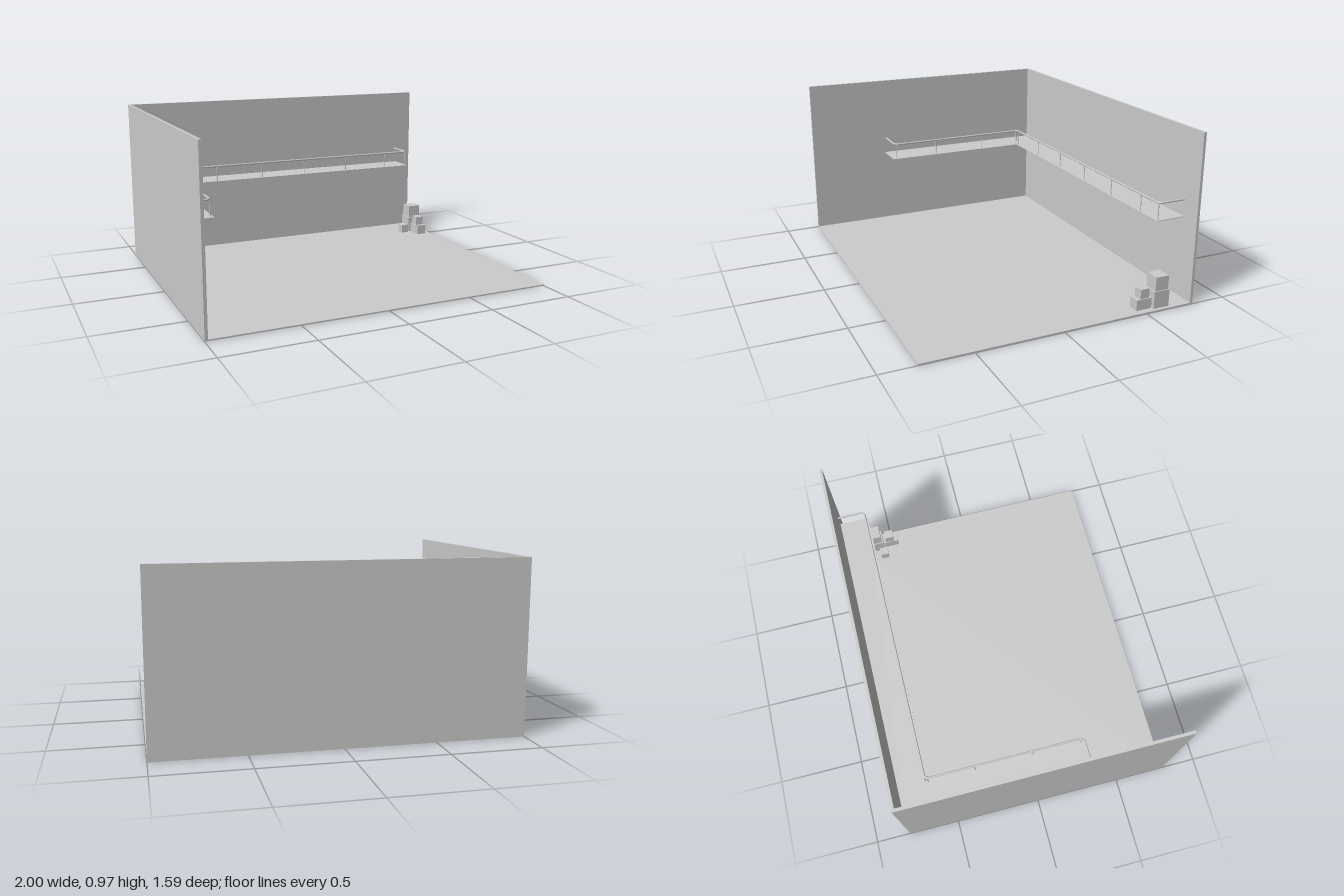
import * as THREE from 'three';

const material = new THREE.MeshStandardMaterial({ color: 0xcccccc });
const flat = new THREE.MeshStandardMaterial({ color: 0xcccccc, flatShading: true });

// Box given by its min and max corners
function box(name, [x0, y0, z0], [x1, y1, z1]) {
  const mesh = new THREE.Mesh(new THREE.BoxGeometry(x1 - x0, y1 - y0, z1 - z0), flat);
  mesh.position.set((x0 + x1) / 2, (y0 + y1) / 2, (z0 + z1) / 2);
  mesh.name = name;
  return mesh;
}

// Round bar between two points
function bar(name, a, b, radius) {
  const curve = new THREE.LineCurve3(a, b);
  const group = new THREE.Mesh(new THREE.TubeGeometry(curve, 1, radius, 8), material);
  group.name = name;
  return group;
}

export function createModel() {
  const model = new THREE.Group();
  model.name = 'warehouseRoom';

  // Room shell
  model.add(
    box('floor', [-1, 0, -0.795], [1, 0.008, 0.795]),
    box('backWall', [-1, 0, -0.797], [1, 0.97, -0.781]),
    box('sideWall', [-1, 0, -0.781], [-0.983, 0.97, 0.795])
  );

  // L-shaped walkway slab, shape y maps to -z
  const walkway = new THREE.Group();
  walkway.name = 'walkway';
  const outline = [[-0.983, 0.781], [-0.983, -0.307], [-0.79, -0.307],
    [-0.79, 0.605], [0.893, 0.605], [0.893, 0.781]];
  const shape = new THREE.Shape(outline.map(([x, y]) => new THREE.Vector2(x, y)));
  const slab = new THREE.Mesh(new THREE.ExtrudeGeometry(shape, { depth: 0.004, bevelEnabled: false }), flat);
  slab.rotation.x = -Math.PI / 2;
  slab.position.y = 0.473;
  slab.name = 'walkwayDeck';
  walkway.add(slab);

  // Handrail with chamfered corners, ending at the walls
  const railY = 0.572;
  const path = [[-0.983, 0.292], [-0.822, 0.292], [-0.806, 0.272], [-0.806, -0.6],
    [-0.79, -0.618], [0.868, -0.618], [0.884, -0.635], [0.884, -0.781]]
    .map(([x, z]) => new THREE.Vector3(x, railY, z));
  const joint = new THREE.SphereGeometry(0.006, 8, 6);
  path.forEach((p, i) => {
    if (i === path.length - 1) return;
    walkway.add(bar('handrail', p, path[i + 1], 0.006));
    if (i > 0) {
      const elbow = new THREE.Mesh(joint, material);
      elbow.position.copy(p);
      elbow.name = 'handrailElbow';
      walkway.add(elbow);
    }
  });

  // Rail posts along both runs
  const posts = [-0.8, -0.495, -0.19, 0.11, 0.415, 0.715, 0.878].map((x) => [x, -0.62])
    .concat([0.281, 0, -0.337, -0.606].map((z) => [-0.808, z]));
  for (const [x, z] of posts) {
    walkway.add(bar('railPost', new THREE.Vector3(x, 0.476, z), new THREE.Vector3(x, railY, z), 0.003));
  }
  model.add(walkway);

  // Stacked crates in the corner
  const crates = new THREE.Group();
  crates.name = 'crates';
  crates.add(
    box('largeCrate', [0.885, 0.008, -0.653], [0.98, 0.107, -0.557]),
    box('largeCrateTop', [0.891, 0.107, -0.647], [0.974, 0.187, -0.566]),
    box('mediumCrate', [0.9, 0.008, -0.552], [0.963, 0.069, -0.458]),
    box('smallCrateTop', [0.904, 0.069, -0.539], [0.957, 0.124, -0.484]),
    box('smallCrate', [0.822, 0.008, -0.591], [0.873, 0.061, -0.541])
  );
  model.add(crates);

  return model;
}
